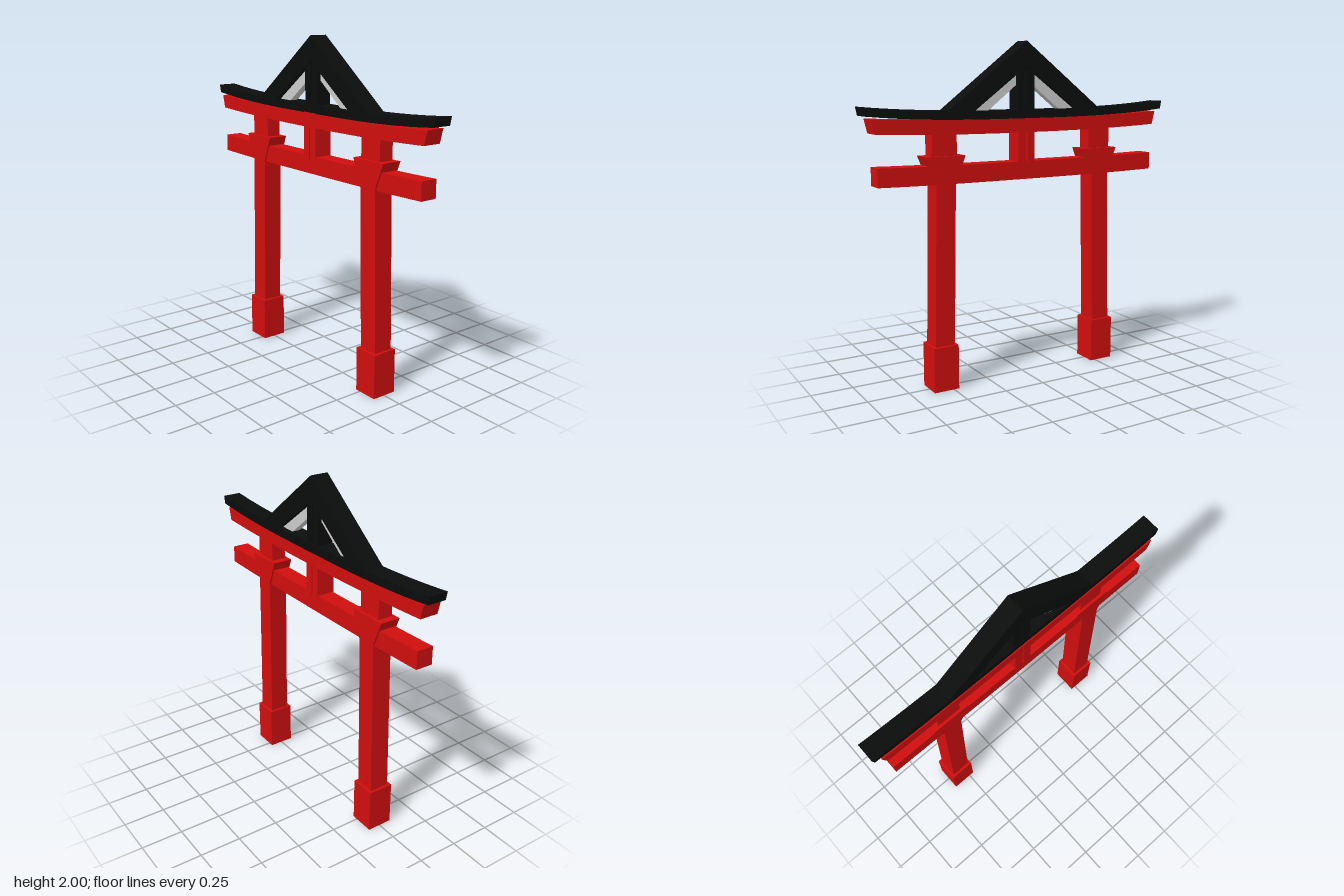
import * as THREE from 'three';

const red = new THREE.MeshStandardMaterial({ color: 0xd00e0e, flatShading: true });
const black = new THREE.MeshStandardMaterial({ color: 0x0b0c0c, flatShading: true });
const grey = new THREE.MeshStandardMaterial({ color: 0xcccccc, flatShading: true });

// Extrude a front-view outline between two z values
function slab(name, points, zBack, zFront, material) {
  const shape = new THREE.Shape(points.map(([x, y]) => new THREE.Vector2(x, y)));
  const geometry = new THREE.ExtrudeGeometry(shape, { depth: zFront - zBack, bevelEnabled: false });
  geometry.translate(0, 0, zBack);
  const mesh = new THREE.Mesh(geometry, material);
  mesh.name = name;
  return mesh;
}

// Rectangle outline
const rect = (x0, x1, y0, y1) => [[x0, y0], [x1, y0], [x1, y1], [x0, y1]];

// Outline of a beam whose ends sweep upward
function sweptBeam(bottomHalf, topHalf, bottomY, topY, rise, power) {
  const n = 20, bottom = [], top = [];
  for (let i = 0; i <= n; i++) {
    const t = (i / n) * 2 - 1;
    const lift = rise * Math.abs(t) ** power;
    bottom.push([t * bottomHalf, bottomY + lift]);
    top.push([t * topHalf, topY + lift]);
  }
  return [...bottom, ...top.reverse()];
}

export function createModel() {
  const model = new THREE.Group();
  model.name = 'gate';

  // Leaning pillars with plinth, flared capital and neck
  for (const s of [-1, 1]) {
    const pillar = new THREE.Group();
    pillar.name = s > 0 ? 'leftPillar' : 'rightPillar';
    const add = (name, points, z) => {
      const outline = points.map(([x, y]) => [x * s, y]);
      pillar.add(slab(name, outline, -z, z, red));
    };
    add('plinth', rect(0.468, 0.622, 0, 0.265), 0.077);
    add('shaft', [[0.485, 0.2], [0.607, 0.2], [0.582, 1.25], [0.463, 1.25]], 0.06);
    add('capital', [[0.468, 1.19], [0.575, 1.19], [0.645, 1.36], [0.402, 1.36]], 0.062);
    add('neck', rect(0.448, 0.6, 1.34, 1.5), 0.045);
    model.add(pillar);
  }

  // Horizontal beams
  model.add(slab('tieBeam', sweptBeam(0.922, 0.922, 1.2, 1.305, 0.008, 3), -0.052, 0.052, red));
  model.add(slab('lintel', sweptBeam(0.933, 0.953, 1.475, 1.556, 0.02, 2.5), -0.056, 0.056, red));
  model.add(slab('roofBeam', sweptBeam(0.99, 1, 1.557, 1.606, 0.035, 3), -0.064, 0.05, black));

  // Split centre strut below and above the lintel
  for (const s of [-1, 1]) {
    const [a, b] = s > 0 ? [0.005, 0.055] : [-0.055, -0.005];
    model.add(slab('lowerStrut', rect(a, b, 1.29, 1.56), -0.057, 0.057, red));
    model.add(slab('kingPost', rect(a, b, 1.58, 1.84), -0.052, 0.046, black));
  }

  // Gable rafters
  model.add(slab('gableRafters', [
    [-0.515, 1.603], [-0.345, 1.603], [0, 1.858], [0.345, 1.603], [0.515, 1.603], [0, 2],
  ], -0.062, 0.05, black));

  // Recessed trim lining the inside of each rafter
  for (const s of [-1, 1]) {
    const trim = [[0.36, 1.6], [0.05, 1.83], [0.05, 1.752], [0.245, 1.6]];
    model.add(slab('gableTrim', trim.map(([x, y]) => [x * s, y]), -0.03, 0.02, grey));
  }
  return model;
}
